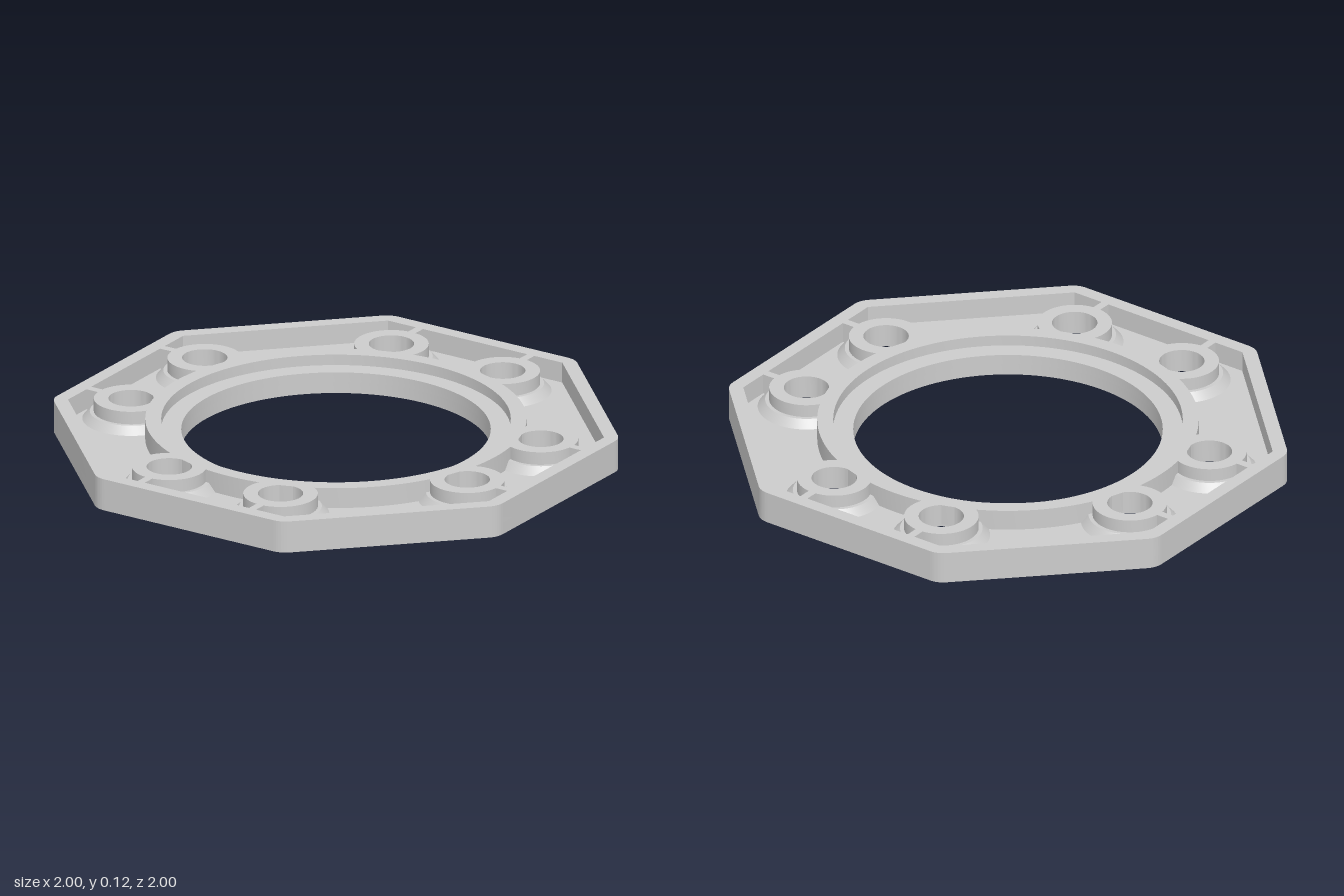
import * as THREE from 'three';
import { toCreasedNormals } from 'three/addons/utils/BufferGeometryUtils.js';

const TOP = 0.125, FLOOR = 0.045;
const material = new THREE.MeshStandardMaterial({ color: 0xcccccc });

function addMesh(parent, name, geometry) {
  const mesh = new THREE.Mesh(toCreasedNormals(geometry, 0.45), material);
  mesh.name = name;
  parent.add(mesh);
  return mesh;
}

// Regular octagon corners for a given half width across flats
function octagon(half) {
  const r = half / Math.cos(Math.PI / 8);
  return Array.from({ length: 8 }, (_, i) => {
    const a = Math.PI / 8 + i * Math.PI / 4;
    return new THREE.Vector2(r * Math.cos(a), r * Math.sin(a));
  });
}

// Octagon with slightly rounded corners
function roundedOctagon(half, cut) {
  const shape = new THREE.Shape();
  const pts = octagon(half);
  pts.forEach((p, i) => {
    const toward = (q) => p.clone().add(q.clone().sub(p).setLength(cut));
    const a = toward(pts[(i + 7) % 8]), b = toward(pts[(i + 1) % 8]);
    if (i === 0) shape.moveTo(a.x, a.y);
    else shape.lineTo(a.x, a.y);
    shape.quadraticCurveTo(p.x, p.y, b.x, b.y);
  });
  shape.closePath();
  return shape;
}

const circle = (x, y, r) => new THREE.Path().absarc(x, y, r, 0, Math.PI * 2, true);

// Flat slab standing on height y
function slab(shape, y, height) {
  return new THREE.ExtrudeGeometry(shape, { depth: height, bevelEnabled: false, curveSegments: 32 })
    .rotateX(-Math.PI / 2).translate(0, y, 0);
}

const lathe = (profile, segments) =>
  new THREE.LatheGeometry(profile.map(([r, y]) => new THREE.Vector2(r, y)), segments);

export function createModel() {
  const group = new THREE.Group();

  // Bolt positions: a pair near each of the four straight sides
  const bolts = [];
  for (let side = 0; side < 4; side++) {
    for (const s of [-0.25, 0.25]) {
      const a = side * Math.PI / 2;
      bolts.push({
        a,
        x: s * Math.cos(a) + 0.755 * Math.sin(a),
        z: -s * Math.sin(a) + 0.755 * Math.cos(a),
      });
    }
  }

  // Thin floor plate with the central bore and bolt recess openings
  const floor = roundedOctagon(1, 0.035);
  floor.holes.push(new THREE.Path().absarc(0, 0, 0.58, 0, Math.PI * 2, true));
  for (const b of bolts) floor.holes.push(circle(b.x, -b.z, 0.16));
  // A finer bore comes from the explicit point list
  floor.holes[0] = new THREE.Path(circle(0, 0, 0.58).getPoints(64));
  addMesh(group, 'floorPlate', slab(floor, 0, FLOOR));

  // Raised outer rim
  const rim = roundedOctagon(1, 0.035);
  rim.holes.push(new THREE.Path(octagon(0.945).reverse()));
  addMesh(group, 'outerRim', slab(rim, FLOOR, TOP - FLOOR));

  // Bearing ring with a stepped seat around the bore
  addMesh(group, 'seatRing', lathe([
    [0.715, FLOOR], [0.715, TOP], [0.655, TOP], [0.655, 0.083], [0.58, 0.083], [0.58, FLOOR],
  ], 128));

  // Bolt bosses: conical skirt outside, through hole, conical recess underneath
  const bossProfile = [
    [0.183, FLOOR], [0.155, 0.075], [0.14, 0.075], [0.14, TOP],
    [0.085, TOP], [0.085, 0.035], [0.115, 0.035], [0.16, 0],
  ];
  for (const b of bolts) {
    const boss = new THREE.Group();
    boss.name = 'boltBoss';
    boss.position.set(b.x, 0, b.z);
    boss.rotation.y = b.a;
    addMesh(boss, 'bossBody', lathe(bossProfile, 64));
    // Short rib tying the boss to the rim
    addMesh(boss, 'bossRib', new THREE.BoxGeometry(0.032, TOP - FLOOR, 0.07)
      .translate(0, (TOP + FLOOR) / 2, 0.165));
    group.add(boss);
  }
  return group;
}
